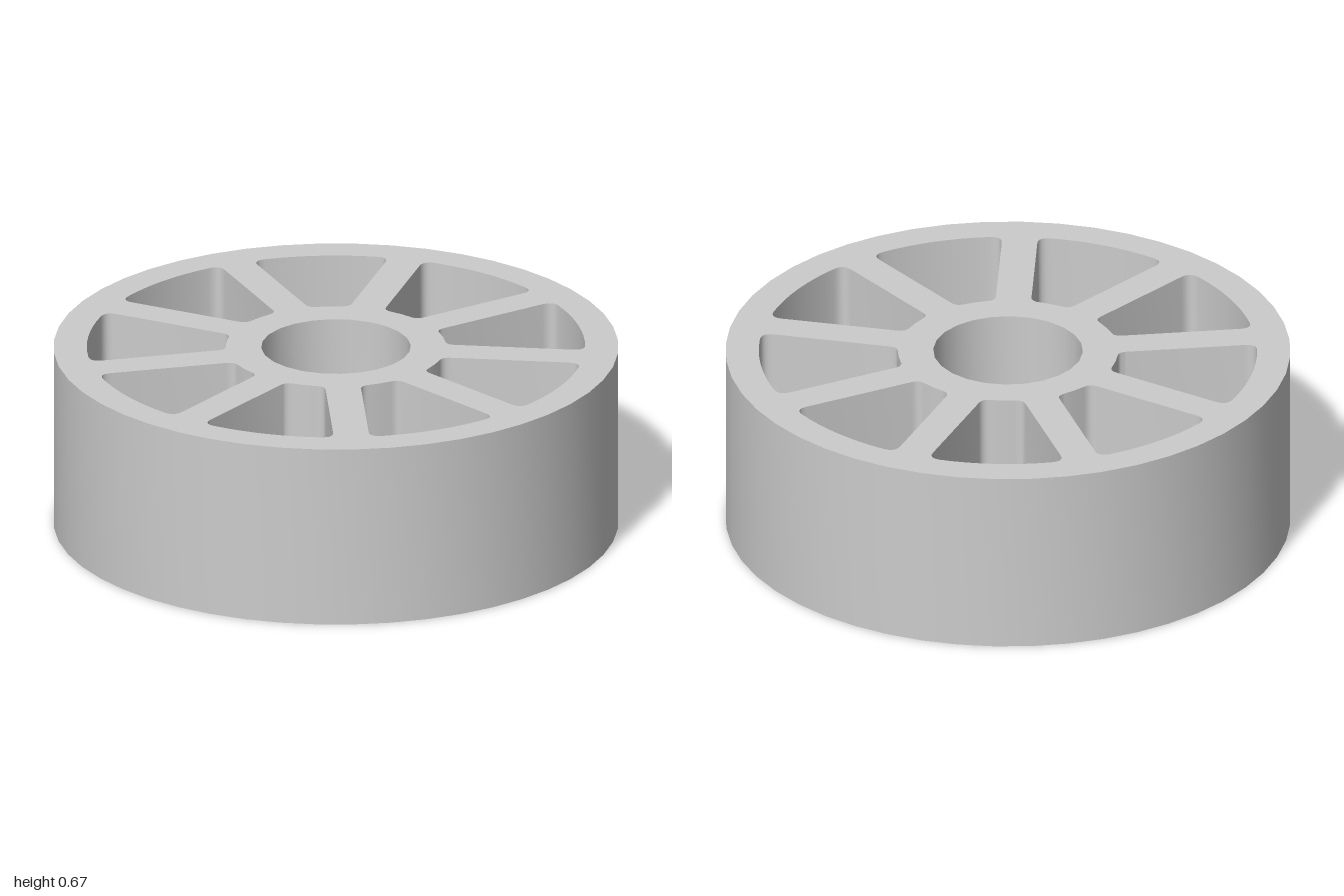
import * as THREE from 'three';
import { toCreasedNormals } from 'three/addons/utils/BufferGeometryUtils.js';

const SPOKES = 9, HEIGHT = 0.665, RIM = 1, BORE = 0.265;
const OUTER = 0.882, INNER = 0.39;   // radial limits of each window
const HALF_SPOKE = 0.063, FILLET = 0.045;

const polar = (r, a) => new THREE.Vector2(r * Math.cos(a), r * Math.sin(a));

function arc(r, from, to, n) {
  return Array.from({ length: n + 1 }, (_, i) => polar(r, from + (to - from) * i / n));
}

function circle(r, n) {
  return arc(r, 0, Math.PI * 2, n).slice(0, n);
}

// rounded corner between two tangent points, without its end points
function fillet(a, corner, b) {
  return new THREE.QuadraticBezierCurve(a, corner, b).getPoints(5).slice(1, -1);
}

// window between two parallel-sided spokes, centred on the given angle
function windowOutline(centre) {
  const half = Math.PI / SPOKES;
  const ao = half - Math.asin(HALF_SPOKE / OUTER);
  const ai = half - Math.asin(HALF_SPOKE / INNER);
  const outerArc = arc(OUTER, -ao + FILLET / OUTER, ao - FILLET / OUTER, 8);
  const innerArc = arc(INNER, ai - 0.03 / INNER, -ai + 0.03 / INNER, 2);
  const co = polar(OUTER, ao), ci = polar(INNER, ai);
  const dir = co.clone().sub(ci).normalize();
  const so = co.clone().addScaledVector(dir, -FILLET);
  const si = ci.clone().addScaledVector(dir, 0.03);
  const flip = p => new THREE.Vector2(p.x, -p.y);
  const pts = [
    ...outerArc, ...fillet(outerArc[8], co, so), so,
    si, ...fillet(si, ci, innerArc[0]), ...innerArc,
    ...fillet(innerArc[2], flip(ci), flip(si)), flip(si),
    flip(so), ...fillet(flip(so), flip(co), outerArc[0]),
  ];
  return pts.map(p => p.rotateAround(new THREE.Vector2(), centre));
}

export function createModel() {
  const group = new THREE.Group();
  group.name = 'spokedWheel';

  // rim, spokes and hub as one solid plate with the openings cut out
  const shape = new THREE.Shape(circle(RIM, 48));
  shape.holes.push(new THREE.Path(circle(BORE, 24)));
  for (let i = 0; i < SPOKES; i++) {
    const centre = Math.PI / 2 + i * 2 * Math.PI / SPOKES;
    shape.holes.push(new THREE.Path(windowOutline(centre)));
  }
  const solid = new THREE.ExtrudeGeometry(shape, { depth: HEIGHT, bevelEnabled: false });
  solid.rotateX(-Math.PI / 2);

  const wheel = new THREE.Mesh(
    toCreasedNormals(solid, 0.6),
    new THREE.MeshStandardMaterial({ color: 0xcccccc })
  );
  wheel.name = 'wheelBody';
  group.add(wheel);
  return group;
}
